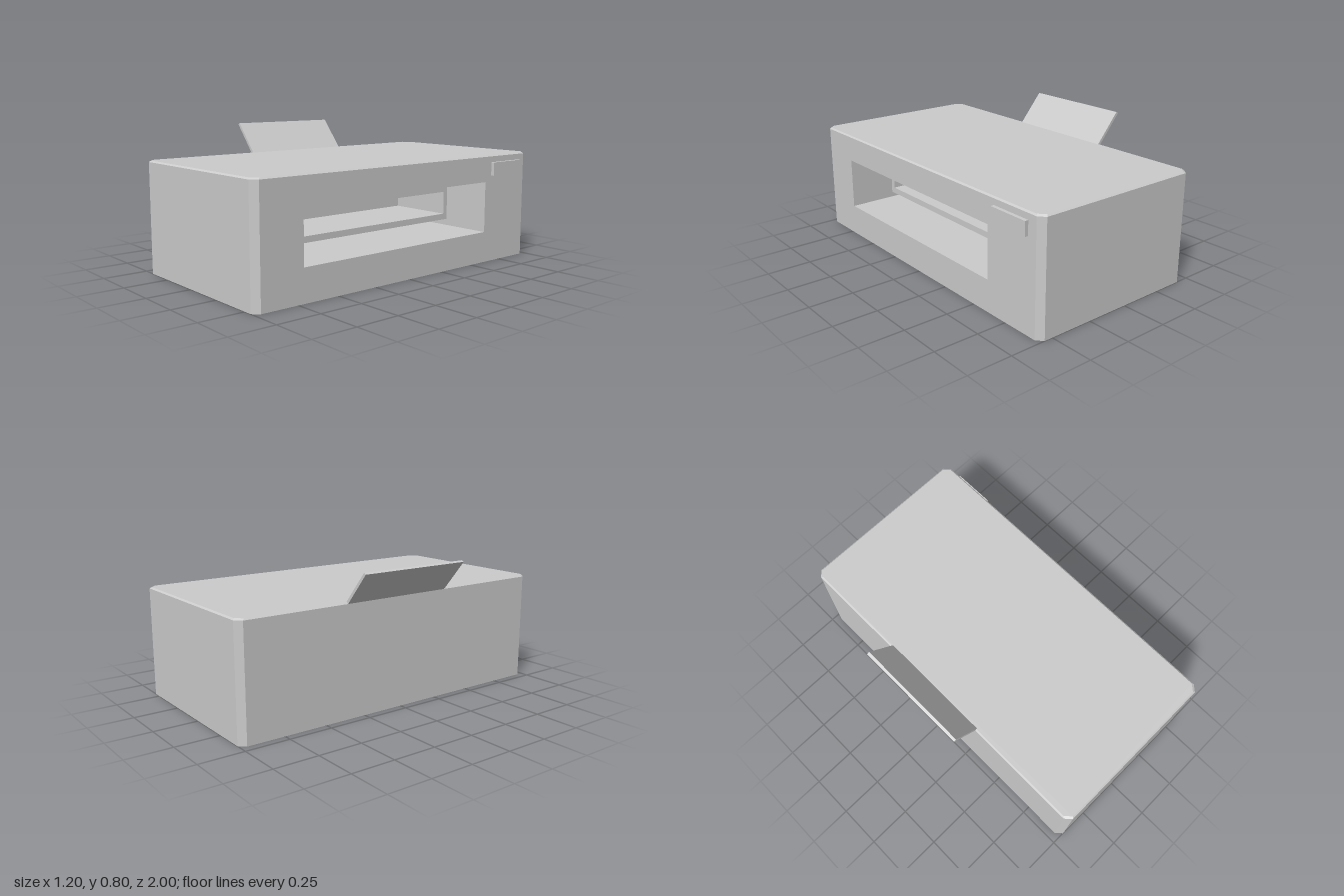
import * as THREE from 'three';

const grey = new THREE.MeshStandardMaterial({ color: 0xcccccc, flatShading: true, side: THREE.DoubleSide });

function add(group, name, geometry) {
  const mesh = new THREE.Mesh(geometry, grey);
  mesh.name = name;
  group.add(mesh);
  return mesh;
}

// Solid or front-open (+x) box given by its limits
function box([x0, x1], [y0, y1], [z0, z1], open = false) {
  const g = new THREE.BoxGeometry(x1 - x0, y1 - y0, z1 - z0);
  g.translate((x0 + x1) / 2, (y0 + y1) / 2, (z0 + z1) / 2);
  if (open) {
    g.setIndex(Array.from(g.index.array).slice(6)); // drops the +x side
    g.clearGroups();
  }
  return g;
}

// Flat panel facing +x with a rectangular hole
function framePanel(x, [y0, y1], [z0, z1], hole) {
  const rect = (C, [a, b], [c, d]) => new C([[-d, a], [-c, a], [-c, b], [-d, b]].map(p => new THREE.Vector2(...p)));
  const shape = rect(THREE.Shape, [y0, y1], [z0, z1]);
  shape.holes.push(rect(THREE.Path, hole.y, hole.z));
  return new THREE.ShapeGeometry(shape).rotateY(Math.PI / 2).translate(x, 0, 0);
}

// Rectangle with cut corners, as [x, z] pairs, starting with the +x side
function outline(inset) {
  const l = -0.455 + inset, r = 0.58 - inset, e = 1 - inset, cx = 0.032, cz = 0.035;
  return [[r, e - cz], [r, -e + cz], [r - cx, -e], [l + cx, -e], [l, -e + cz], [l, e - cz], [l + cx, e], [r - cx, e]];
}

// Band of quads between two outlines, leaving out the sides before "first"
function band(lower, y0, upper, y1, first = 0) {
  const v = [];
  for (let i = first; i < lower.length; i++) {
    const j = (i + 1) % lower.length;
    const at = (p, y) => [p[0], y, p[1]];
    const a = at(lower[i], y0), b = at(lower[j], y0), c = at(upper[j], y1), d = at(upper[i], y1);
    v.push(...a, ...b, ...c, ...a, ...c, ...d);
  }
  const g = new THREE.BufferGeometry();
  g.setAttribute('position', new THREE.Float32BufferAttribute(v, 3));
  g.computeVertexNormals();
  return g;
}

export function createModel() {
  const model = new THREE.Group();
  const H = 0.63, edge = 0.622, bevel = 0.009;
  const wide = outline(0), lid = outline(bevel);

  // Hollow housing, open underneath
  const housing = new THREE.Group();
  housing.name = 'housing';
  model.add(housing);
  const opening = { y: [0.18, 0.475], z: [-0.615, 0.715] };
  add(housing, 'sideWalls', band(wide, 0, wide, edge, 1));
  add(housing, 'slotWall', framePanel(0.58, [0, edge], [-0.965, 0.965], opening));
  add(housing, 'topBevel', band(wide, edge, lid, H));
  const top = new THREE.Shape(lid.map(([x, z]) => new THREE.Vector2(x, -z)));
  add(housing, 'topPanel', new THREE.ShapeGeometry(top).rotateX(-Math.PI / 2).translate(0, H, 0));

  // Output recess with a hollow feeder mouth standing on its back wall
  add(model, 'outputRecess', box([-0.092, 0.58], opening.y, opening.z, true));
  const mouthY = [0.23, 0.43], mouthZ = [-0.565, 0.67];
  const slot = { y: [0.265, 0.398], z: [-0.535, 0.64] };
  add(model, 'feederMouth', box([-0.09, 0.33], mouthY, mouthZ, true));
  add(model, 'feederRim', framePanel(0.33, mouthY, mouthZ, slot));
  add(model, 'feederSlot', box([-0.06, 0.33], slot.y, slot.z, true));

  // Control button
  add(model, 'button', box([0.58, 0.6], [0.51, 0.588], [-0.91, -0.665]));

  // Slanted paper support
  const support = new THREE.Shape([[-0.455, 0.622], [-0.441, 0.63], [-0.585, 0.8], [-0.6, 0.793]].map(p => new THREE.Vector2(...p)));
  add(model, 'paperSupport', new THREE.ExtrudeGeometry(support, { depth: 0.67, bevelEnabled: false }).translate(0, 0, -0.36));

  return model;
}
